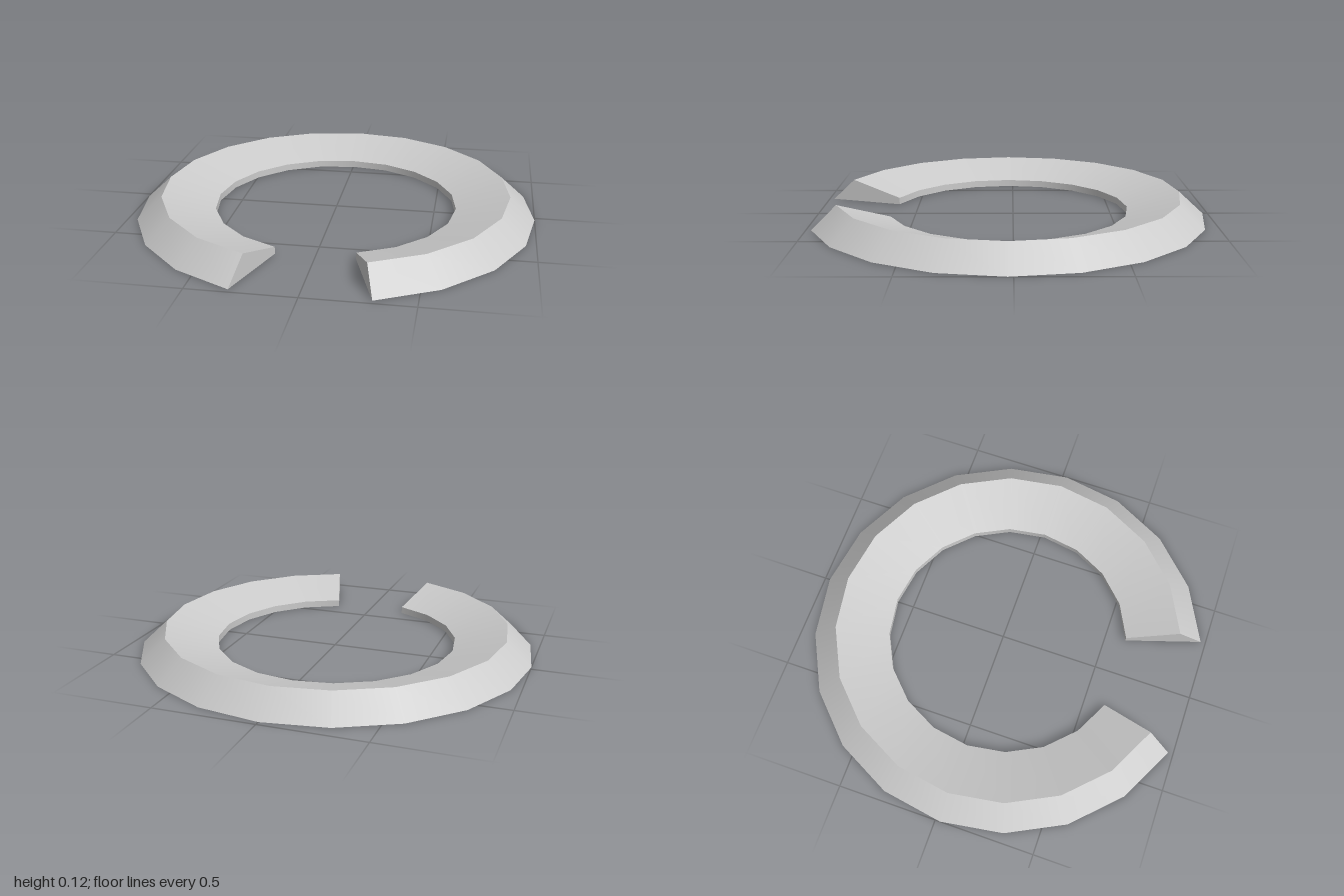
import * as THREE from 'three';

const STEP = Math.PI / 10;   // twenty-sided ring, two sides left open at the front
const CENTRE_Z = 0.0245;

// Cross-section (radius, height), counter-clockwise
const profile = [
  [0.61, 0],       // inner foot
  [1, 0],          // outer foot
  [0.875, 0.115],  // ridge
  [0.61, 0.035],   // inner lip
].map(([r, y]) => new THREE.Vector2(r, y));

export function createModel() {
  const ring = new THREE.Group();
  ring.name = 'openRing';
  const material = new THREE.MeshStandardMaterial({ color: 0xcccccc });

  const add = (name, geometry) => {
    const mesh = new THREE.Mesh(geometry, material);
    mesh.name = name;
    ring.add(mesh);
    return mesh;
  };

  // One band per profile edge: smooth around the ring, sharp between bands
  ['underside', 'outerBevel', 'topSlope', 'innerWall'].forEach((name, i) => {
    const edge = [profile[i], profile[(i + 1) % profile.length]];
    add(name, new THREE.LatheGeometry(edge, 18, STEP, 18 * STEP));
  });

  // Flat end faces either side of the gap
  for (const side of [1, -1]) {
    const section = new THREE.Shape(profile.map(p => new THREE.Vector2(side * p.x, p.y)));
    const end = add(side > 0 ? 'leftEnd' : 'rightEnd', new THREE.ShapeGeometry(section));
    end.rotation.y = side * (STEP - Math.PI / 2);
  }

  ring.position.z = CENTRE_Z;
  const model = new THREE.Group();
  model.name = 'model';
  model.add(ring);
  return model;
}
